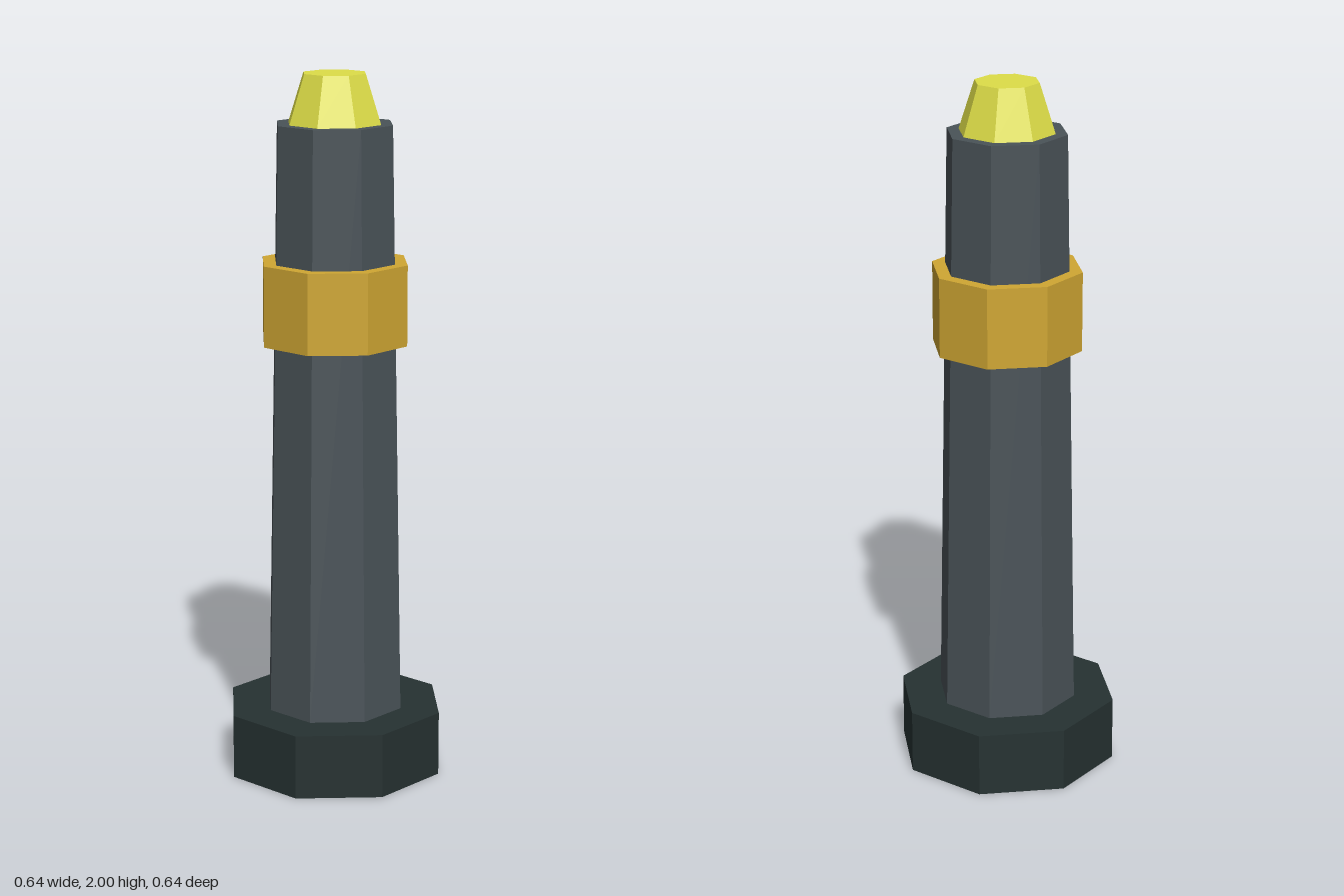
import * as THREE from 'three';

const material = (name, color) => {
  const m = new THREE.MeshStandardMaterial({ color, flatShading: true });
  m.name = name;
  return m;
};

export function createModel() {
  const group = new THREE.Group();
  group.name = 'lampPost';

  const darkIron = material('darkIron', 0x263232);
  const slate = material('slate', 0x4a5358);
  const brass = material('brass', 0xd0a733);
  const glow = material('glow', 0xdede48);

  // Octagonal section from y0 to y1 with a corner on each axis
  const section = (name, mat, y0, y1, rBottom, rTop) => {
    const mesh = new THREE.Mesh(new THREE.CylinderGeometry(rTop, rBottom, y1 - y0, 8), mat);
    mesh.name = name;
    mesh.position.y = (y0 + y1) / 2;
    group.add(mesh);
  };

  section('base', darkIron, 0, 0.185, 0.318, 0.318);
  section('shaft', slate, 0.185, 1.862, 0.202, 0.17);
  section('collar', brass, 1.25, 1.478, 0.215, 0.215);
  section('tip', glow, 1.862, 2, 0.136, 0.091);

  return group;
}
